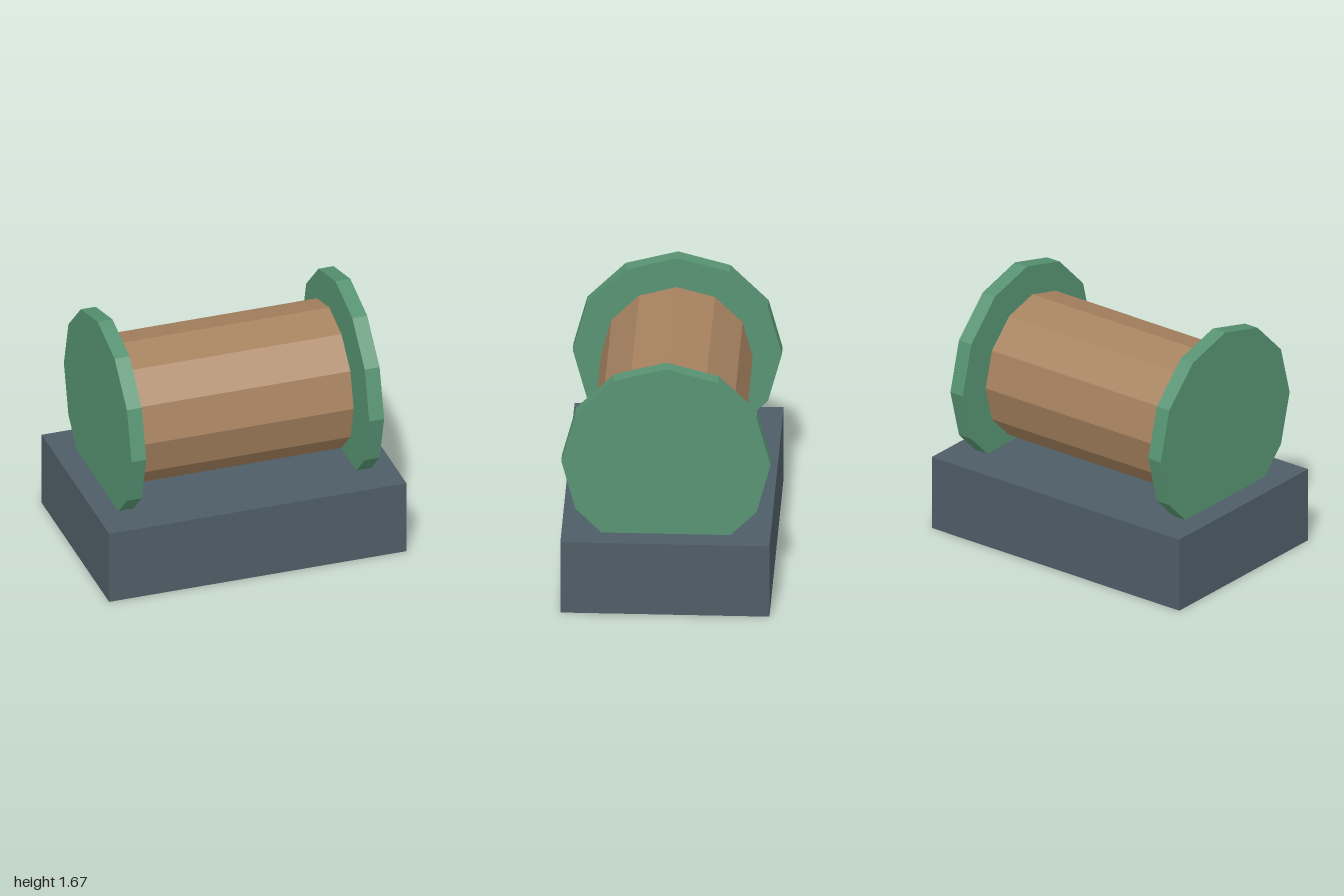
import * as THREE from 'three';

const material = (name, color) => {
  const m = new THREE.MeshStandardMaterial({ color, flatShading: true });
  m.name = name;
  return m;
};

export function createModel() {
  const model = new THREE.Group();
  model.name = 'drumOnBase';

  const slate = material('slate', 0x4e5d67);
  const green = material('green', 0x579372);
  const brown = material('brown', 0xa6825f);

  const add = (name, geometry, mat, x, y) => {
    const mesh = new THREE.Mesh(geometry, mat);
    mesh.name = name;
    mesh.position.set(x, y, 0);
    model.add(mesh);
  };

  // Twelve-sided cylinder lying along x, with a corner at the top
  const roller = (radius, length) =>
    new THREE.CylinderGeometry(radius, radius, length, 12).rotateZ(Math.PI / 2);

  // Block base
  add('base', new THREE.BoxGeometry(2, 0.5, 1.333), slate, 0, 0.25);

  // Drum between the end discs
  add('drum', roller(0.483, 1.416), brown, 0, 1);

  // End discs, sunk into the base
  for (const [name, side] of [['leftDisc', 1], ['rightDisc', -1]]) {
    add(name, roller(0.667, 0.1), green, side * 0.8, 1);
  }

  return model;
}
